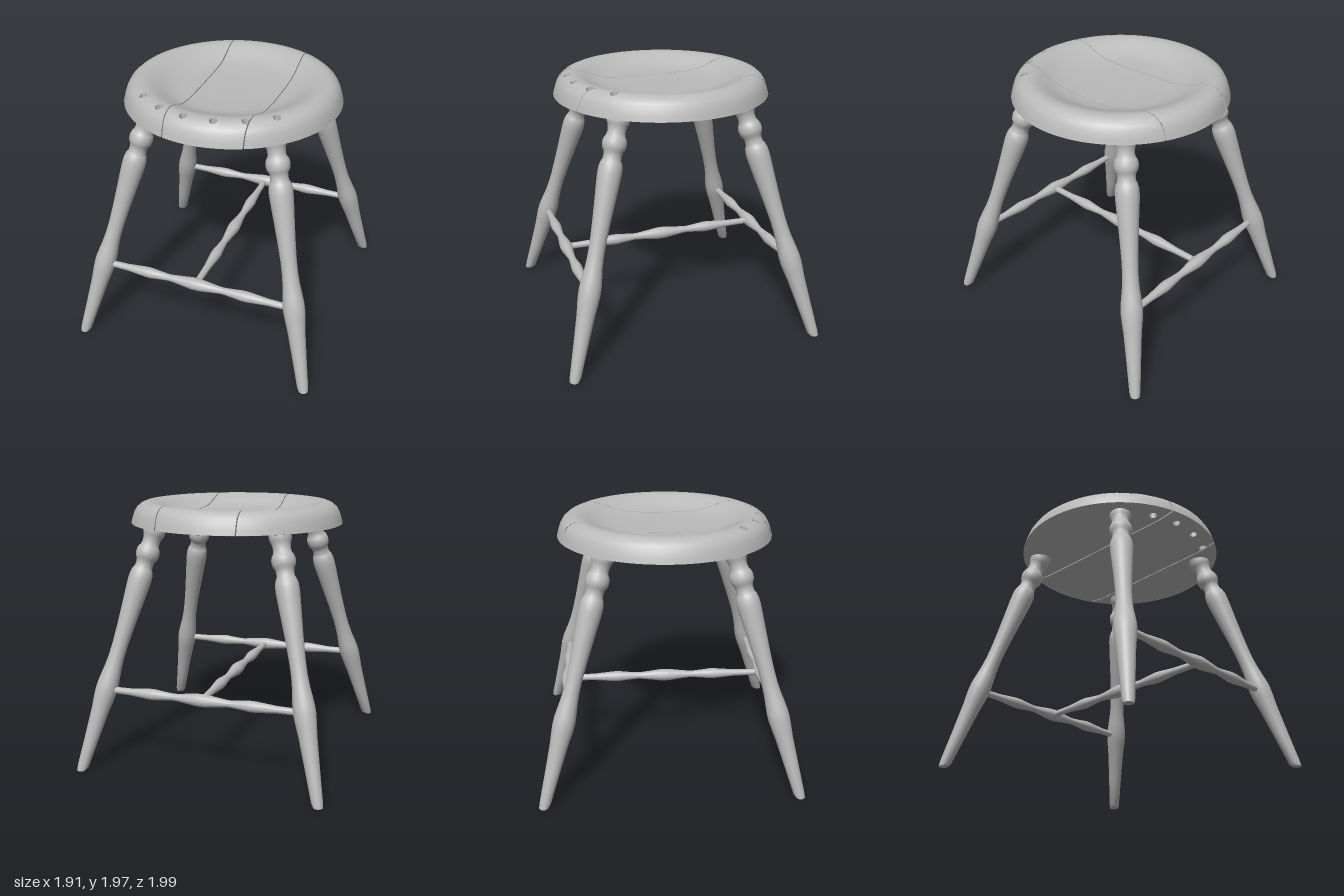
import * as THREE from 'three';
import { toCreasedNormals } from 'three/addons/utils/BufferGeometryUtils.js';

const wood = new THREE.MeshStandardMaterial({ color: 0xbababa });
wood.name = 'plain grey wood';

// Seat section: radius, top height, underside height
const SEAT = [
  [0, 1.875, 1.795], [0.2, 1.877, 1.795], [0.38, 1.883, 1.795], [0.46, 1.895, 1.795],
  [0.52, 1.917, 1.795], [0.57, 1.942, 1.795], [0.62, 1.963, 1.795], [0.65, 1.971, 1.795],
  [0.68, 1.974, 1.796], [0.71, 1.97, 1.8], [0.74, 1.957, 1.804], [0.77, 1.931, 1.808],
  [0.79, 1.896, 1.811], [0.805, 1.85, 1.814], [0.814, 1.816, 1.816],
];
const SEGMENTS = 144;
const HOLE_RING = 9;
const HOLE_RADIUS = 0.03;
const HOLES = [-17, -10, -3, 4, 11, 18]; // segment index, counted from the front
const AROUND = [[1, 0], [1, 1], [0, 1], [-1, 1], [-1, 0], [-1, -1], [0, -1], [1, -1]];

// Joints between planks: x = a + b * z
const JOINTS = [{ a: -0.239, b: 0.021 }, { a: 0.358, b: -0.011 }];
const GAP = 0.008;

function seatHeight(r, column) {
  let i = 1;
  while (i < SEAT.length - 1 && SEAT[i][0] < r) i++;
  const [p, q] = [SEAT[i - 1], SEAT[i]];
  return THREE.MathUtils.lerp(p[column], q[column], Math.min(1, (r - p[0]) / (q[0] - p[0])));
}

function polar(ring, seg) {
  const angle = (seg / SEGMENTS) * Math.PI * 2;
  return new THREE.Vector2(Math.sin(angle), Math.cos(angle)).multiplyScalar(SEAT[ring][0]);
}

// Grid point on the seat, pulled onto a circle where it borders a hole
function seatPoint(ring, seg, column) {
  const plan = polar(ring, seg);
  const hole = HOLES.find((h) => Math.abs(h - seg) <= 1);
  if (hole !== undefined && Math.abs(ring - HOLE_RING) === 1 || hole !== undefined && ring === HOLE_RING && seg !== hole) {
    const centre = polar(HOLE_RING, hole);
    plan.sub(centre).setLength(HOLE_RADIUS).add(centre);
  }
  return new THREE.Vector3(plan.x, seatHeight(plan.length(), column), plan.y);
}

// Whole seat as triangles: dished top, underside and hole walls
function seatTriangles() {
  const tris = [];
  const quad = (a, b, c, d) => tris.push([a, b, c], [a, c, d]);
  for (let s = -SEGMENTS / 2; s < SEGMENTS / 2; s++) {
    for (let r = 0; r < SEAT.length - 1; r++) {
      const inHole = (r === HOLE_RING || r === HOLE_RING - 1) && HOLES.some((h) => s === h || s === h - 1);
      if (inHole) continue;
      const corners = [[r, s], [r + 1, s], [r + 1, s + 1], [r, s + 1]];
      quad(...corners.map(([i, j]) => seatPoint(i, j, 1)));
      quad(...corners.map(([i, j]) => seatPoint(i, j, 2)).reverse());
    }
  }
  for (const h of HOLES) {
    AROUND.forEach(([dr, ds], k) => {
      const [er, es] = AROUND[(k + 1) % 8];
      const at = (x, y, column) => seatPoint(HOLE_RING + x, h + y, column);
      quad(at(dr, ds, 1), at(er, es, 1), at(er, es, 2), at(dr, ds, 2));
    });
  }
  return tris;
}

// Keep the part of the triangles on one side of a joint and close the cut
function cut(tris, { a, b }, side) {
  const out = [];
  const dist = (p) => (p.x - a - b * p.z) * side - GAP / 2;
  for (const tri of tris) {
    const poly = [];
    tri.forEach((p, i) => {
      const q = tri[(i + 1) % 3];
      const [dp, dq] = [dist(p), dist(q)];
      if (dp >= 0) poly.push(p);
      if ((dp >= 0) !== (dq >= 0)) poly.push(p.clone().lerp(q, dp / (dp - dq)));
    });
    for (let i = 2; i < poly.length; i++) out.push([poly[0], poly[i - 1], poly[i]]);
  }
  const half = Math.sqrt(0.814 ** 2 - a * a);
  const steps = 48;
  const edge = (i, column) => {
    const z = half * (2 * i / steps - 1);
    const x = a + b * z + side * GAP / 2;
    return new THREE.Vector3(x, seatHeight(Math.hypot(x, z), column), z);
  };
  for (let i = 0; i < steps; i++) {
    const [j, k] = side < 0 ? [i, i + 1] : [i + 1, i];
    out.push([edge(j, 1), edge(k, 1), edge(k, 2)], [edge(j, 1), edge(k, 2), edge(j, 2)]);
  }
  return out;
}

function plank(name, tris) {
  const geometry = new THREE.BufferGeometry().setFromPoints(
    tris.filter((t) => new THREE.Triangle(...t).getArea() > 1e-9).flat());
  const mesh = new THREE.Mesh(toCreasedNormals(geometry, 0.7), wood);
  mesh.name = name;
  return mesh;
}

// Turned part: profile of [radius, position along the axis from 0 to 1]
function turned(name, profile, from, to) {
  const axis = to.clone().sub(from);
  const length = axis.length();
  const geometry = new THREE.LatheGeometry(profile.map(([r, t]) => new THREE.Vector2(r, t * length)), 28);
  geometry.applyQuaternion(new THREE.Quaternion().setFromUnitVectors(new THREE.Vector3(0, 1, 0), axis.normalize()));
  geometry.translate(from.x, from.y, from.z);
  // Trim flat against the floor
  const pos = geometry.attributes.position;
  for (let i = 0; i < pos.count; i++) pos.setY(i, Math.max(0, pos.getY(i)));
  const mesh = new THREE.Mesh(toCreasedNormals(geometry, 0.55), wood);
  mesh.name = name;
  return mesh;
}

// Leg profile, with height given for a seat joint at 1.8
const LEG = [
  [0, -0.012], [0.036, -0.012], [0.042, 0.03], [0.054, 0.25], [0.067, 0.46], [0.076, 0.54], [0.081, 0.6],
  [0.08, 0.65], [0.073, 0.71], [0.064, 0.78], [0.059, 0.86], [0.059, 0.95], [0.065, 1.08], [0.074, 1.22],
  [0.084, 1.36], [0.087, 1.42], [0.085, 1.46], [0.077, 1.49], [0.071, 1.5], [0.066, 1.51], [0.064, 1.54],
  [0.069, 1.565], [0.081, 1.58], [0.087, 1.605], [0.087, 1.63], [0.079, 1.655], [0.07, 1.665],
  [0.064, 1.69], [0.066, 1.72], [0.074, 1.745], [0.08, 1.755], [0.082, 1.78], [0.082, 1.83], [0, 1.83],
].map(([r, y]) => [r, y / 1.8]);

// Stretcher half profile: radius and distance from the middle
const HALF = [
  [0.048, 0], [0.046, 0.04], [0.036, 0.12], [0.027, 0.2], [0.027, 0.23], [0.034, 0.31],
  [0.041, 0.37], [0.041, 0.41], [0.034, 0.49], [0.027, 0.57], [0.025, 0.7], [0.025, 0.78], [0, 0.78],
];
const STRETCHER = [...HALF.slice(1).reverse().map(([r, d]) => [r, -d]), ...HALF]
  .map(([r, d]) => [r, 0.5 + d / 1.56]);

export function createModel() {
  const model = new THREE.Group();
  model.name = 'stool';

  // Seat of three planks
  const seat = new THREE.Group();
  seat.name = 'seat';
  const whole = seatTriangles();
  seat.add(
    plank('rightPlank', cut(whole, JOINTS[0], -1)),
    plank('middlePlank', cut(cut(whole, JOINTS[0], 1), JOINTS[1], -1)),
    plank('leftPlank', cut(whole, JOINTS[1], 1)),
  );
  model.add(seat);

  // Splayed legs
  for (const sx of [-1, 1]) {
    for (const sz of [-1, 1]) {
      const name = (sz > 0 ? 'front' : 'back') + (sx > 0 ? 'Left' : 'Right') + 'Leg';
      model.add(turned(name, LEG,
        new THREE.Vector3(sx * 0.917, 0, sz * 0.955), new THREE.Vector3(sx * 0.48, 1.8, sz * 0.465)));
    }
  }

  // Stretchers in an H
  const bar = (name, x, z, dx, dz) => model.add(turned(name, STRETCHER,
    new THREE.Vector3(x - dx, 0.61, z - dz), new THREE.Vector3(x + dx, 0.61, z + dz)));
  bar('frontStretcher', 0, 0.79, 0.78, 0);
  bar('backStretcher', 0, -0.79, 0.78, 0);
  bar('middleStretcher', 0, 0, 0, 0.78);
  return model;
}
